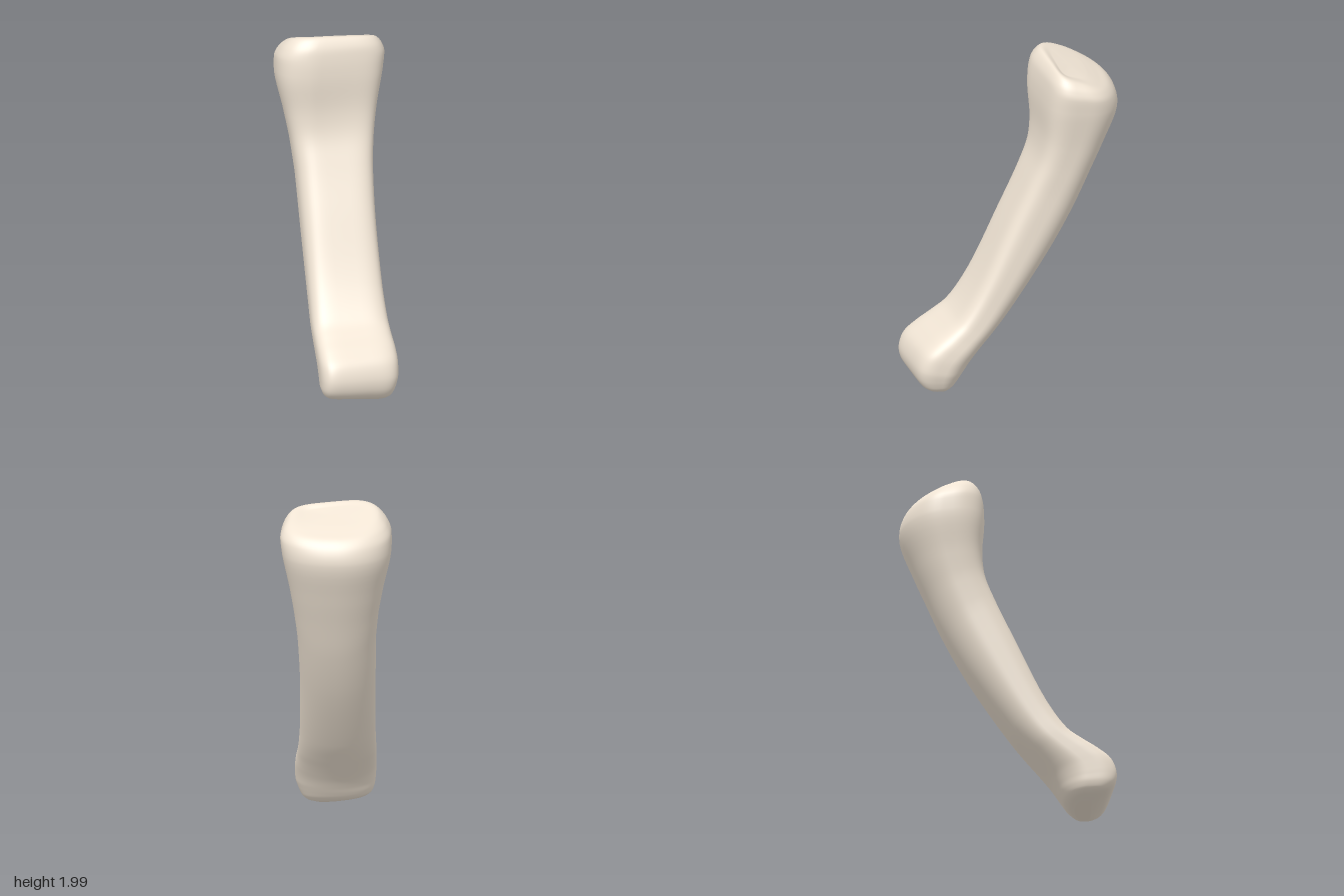
import * as THREE from 'three';

// Cross-sections from the lower end to the upper end:
// front z, front y, back z, back y, min x, max x, skew of the front face
const SECTIONS = [
  [0.49, 0.006, 0.39, 0.004, -0.03, 0.18, 0.04],
  [0.55, 0.025, 0.355, 0.02, -0.11, 0.23, 0.1],
  [0.605, 0.055, 0.325, 0.045, -0.145, 0.26, 0.14],
  [0.64, 0.105, 0.30, 0.08, -0.16, 0.28, 0.16],
  [0.65, 0.175, 0.275, 0.12, -0.165, 0.295, 0.17],
  [0.62, 0.26, 0.245, 0.165, -0.17, 0.297, 0.17],
  [0.545, 0.325, 0.21, 0.21, -0.175, 0.29, 0.15],
  [0.45, 0.385, 0.16, 0.27, -0.18, 0.275, 0.12],
  [0.36, 0.45, 0.10, 0.34, -0.185, 0.262, 0.08],
  [0.235, 0.63, 0.01, 0.45, -0.19, 0.245, 0.06],
  [0.055, 1.01, -0.225, 0.80, -0.207, 0.228, 0.06],
  [-0.055, 1.25, -0.375, 1.08, -0.22, 0.23, 0.07],
  [-0.117, 1.41, -0.47, 1.30, -0.243, 0.245, 0.09],
  [-0.132, 1.55, -0.55, 1.49, -0.275, 0.267, 0.13],
  [-0.118, 1.75, -0.625, 1.70, -0.32, 0.305, 0.18],
  [-0.125, 1.87, -0.61, 1.79, -0.32, 0.317, 0.19],
  [-0.145, 1.945, -0.57, 1.845, -0.29, 0.30, 0.18],
  [-0.19, 2.00, -0.51, 1.875, -0.24, 0.26, 0.16],
  [-0.25, 1.985, -0.44, 1.905, -0.16, 0.18, 0.1],
];

const spline = (fn) => new THREE.CatmullRomCurve3(SECTIONS.map(fn));
const power = (v, e) => Math.sign(v) * Math.abs(v) ** e;

// Roundness of a section's quarter: low is boxy, 1 is elliptical
function roundness(c, s, v) {
  if (s > 0) return c > 0 ? 0.5 : 0.5 + 0.25 * v * v;
  return c > 0 ? 1 - 0.25 * v * v : 0.98;
}

function loftedBone(rows, segs) {
  const front = spline((s) => new THREE.Vector3(s[6], s[1], s[0]));
  const back = spline((s) => new THREE.Vector3(0, s[3], s[2]));
  const sides = spline((s) => new THREE.Vector3(s[4], s[5], 0));
  const pos = [], index = [];

  for (let r = 0; r <= rows; r++) {
    const v = r / rows;
    const f = front.getPoint(v), b = back.getPoint(v), w = sides.getPoint(v);
    for (let i = 0; i < segs; i++) {
      const a = (i / segs) * Math.PI * 2;
      const c = Math.cos(a), s = Math.sin(a);
      const e = roundness(c, s, v);
      const x = (w.x + w.y) / 2 + power(c, e) * (w.y - w.x) / 2;
      const t = (1 + power(s, e)) / 2;
      // slight hollow along the front face
      const hollow = s > 0 ? 0.03 * (f.z - b.z) * s ** 6 : 0;
      const z = b.z + (f.z - b.z) * t - f.x * Math.max(x + 0.12, 0) * t - hollow;
      // both ends slope down towards +x
      const y = b.y + (f.y - b.y) * t
        + 0.1 * (1 - v) ** 6 * (0.15 - x) - 0.1 * v ** 6 * (x + 0.2) * t;
      pos.push(x, y, z);
    }
  }
  for (let r = 0; r < rows; r++) {
    for (let i = 0; i < segs; i++) {
      const j = (i + 1) % segs;
      const p = r * segs + i, q = r * segs + j;
      index.push(p, p + segs, q, q, p + segs, q + segs);
    }
  }
  // close both ends with a fan around the ring's centre
  for (const [row, top] of [[0, false], [rows, true]]) {
    const start = row * segs, centre = pos.length / 3;
    const m = [0, 0, 0];
    for (let k = 0; k < segs * 3; k++) m[k % 3] += pos[start * 3 + k] / segs;
    pos.push(...m);
    for (let i = 0; i < segs; i++) {
      const p = start + i, q = start + (i + 1) % segs;
      index.push(centre, ...(top ? [q, p] : [p, q]));
    }
  }
  const geo = new THREE.BufferGeometry();
  geo.setAttribute('position', new THREE.Float32BufferAttribute(pos, 3));
  geo.setIndex(index);
  geo.computeVertexNormals();
  return geo;
}

export function createModel() {
  const group = new THREE.Group();
  group.name = 'fingerBone';
  const bone = new THREE.Mesh(
    loftedBone(90, 64),
    new THREE.MeshStandardMaterial({ color: 0xf0e4d4 }),
  );
  bone.name = 'bone';
  group.add(bone);
  return group;
}
